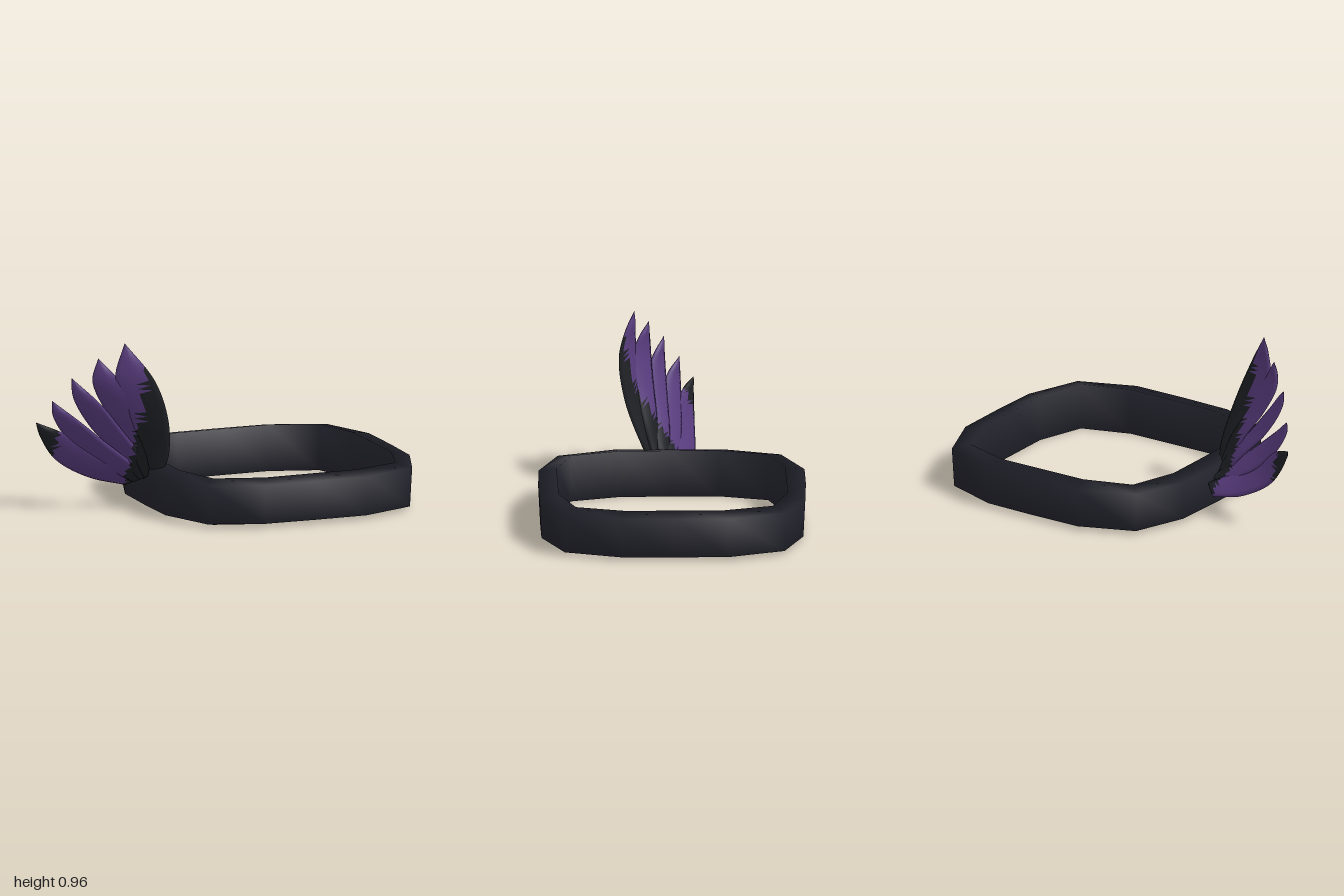
import * as THREE from 'three';

// Skin a list of equal-sized cross-section loops; pick(centroid) returns the material index.
function loft(loops, closed, pick = () => 0) {
  const n = loops[0].length, pts = loops.flat(), buckets = [[], []];
  const face = (...t) => {
    const c = new THREE.Vector3();
    t.forEach((k) => c.addScaledVector(pts[k], 1 / 3));
    buckets[pick(c)].push(...t);
  };
  const spans = closed ? loops.length : loops.length - 1;
  for (let i = 0; i < spans; i++) {
    const a = i * n, b = ((i + 1) % loops.length) * n;
    for (let j = 0; j < n; j++) {
      const k = (j + 1) % n;
      face(a + j, a + k, b + k);
      face(a + j, b + k, b + j);
    }
  }
  const g = new THREE.BufferGeometry().setFromPoints(pts);
  g.setIndex(buckets.flat());
  g.addGroup(0, buckets[0].length, 0);
  g.addGroup(buckets[0].length, buckets[1].length, 1);
  g.computeVertexNormals();
  return g;
}

// Rounded-square band: one quarter of [outer x, outer z, inner x, inner z], turned four times.
function bandGeometry() {
  const quarter = [
    [0.72, 0, 0.615, 0], [0.71, 0.3, 0.615, 0.265],
    [0.6, 0.6, 0.53, 0.53], [0.295, 0.72, 0.265, 0.615],
  ];
  const loops = [];
  for (let q = 0; q < 4; q++) {
    const c = Math.round(Math.cos(q * Math.PI / 2)), s = Math.round(Math.sin(q * Math.PI / 2));
    for (const [ox, oz, ix, iz] of quarter) {
      const at = (x, z, y) => new THREE.Vector3(x * c - z * s, y, x * s + z * c);
      loops.push([
        at(ox * 0.985, oz * 0.985, 0.02), at(ox, oz, 0.235),
        at(ix, iz, 0.255), at(ix, iz, 0),
      ]);
    }
  }
  return loft(loops, true);
}

// Feather blade between its trailing and leading edge, slightly thick in the middle.
function featherGeometry(trail, lead, tip, pick) {
  const curve = (edge) => new THREE.CatmullRomCurve3(
    [...edge, tip].map((p) => new THREE.Vector3(...p)), false, 'centripetal');
  const L = curve(trail), R = curve(lead), rows = 32, half = 4, loops = [];
  for (let i = 0; i <= rows; i++) {
    const t = i / rows, l = L.getPoint(t), r = R.getPoint(t);
    const w = r.clone().sub(l);
    const normal = w.clone().cross(L.getTangent(t).add(R.getTangent(t))).normalize();
    const thick = 0.014 * Math.min(1, w.length() / 0.08);
    const loop = [];
    for (let j = 0; j < half * 2; j++) {
      const a = j / half * Math.PI;
      loop.push(l.clone().addScaledVector(w, (1 - Math.cos(a)) / 2)
        .addScaledVector(normal, Math.sin(a) * thick));
    }
    if (i === 0) {
      const mid = l.clone().lerp(r, 0.5);
      loops.push(loop.map(() => mid.clone())); // closes the root
    }
    loops.push(loop);
  }
  return loft(loops, false, pick);
}

// Feathers from the tall front one to the low rear one, root to tip.
const FEATHERS = [
  {
    trail: [[-0.43, 0.2, 0.09], [-0.48, 0.35, 0.12], [-0.6, 0.58, 0.16], [-0.67, 0.77, 0.17]],
    lead: [[-0.37, 0.23, 0.12], [-0.355, 0.31, 0.16], [-0.39, 0.53, 0.24], [-0.48, 0.76, 0.265]],
    tip: [-0.62, 0.96, 0.18],
  },
  {
    trail: [[-0.45, 0.18, 0.04], [-0.57, 0.4, 0.06], [-0.7, 0.59, 0.08], [-0.77, 0.75, 0.09]],
    lead: [[-0.4, 0.22, 0.09], [-0.43, 0.35, 0.13], [-0.52, 0.53, 0.18], [-0.62, 0.72, 0.19]],
    tip: [-0.74, 0.87, 0.1],
  },
  {
    trail: [[-0.46, 0.16, -0.01], [-0.6, 0.32, -0.01], [-0.75, 0.48, 0], [-0.85, 0.65, 0.01]],
    lead: [[-0.41, 0.2, 0.05], [-0.47, 0.3, 0.08], [-0.6, 0.46, 0.11], [-0.72, 0.61, 0.105]],
    tip: [-0.86, 0.755, 0.015],
  },
  {
    trail: [[-0.48, 0.14, -0.06], [-0.65, 0.24, -0.075], [-0.82, 0.37, -0.08], [-0.93, 0.53, -0.075]],
    lead: [[-0.42, 0.18, 0], [-0.52, 0.27, 0.03], [-0.67, 0.39, 0.035], [-0.81, 0.51, 0.02]],
    tip: [-0.94, 0.62, -0.07],
  },
  {
    trail: [[-0.5, 0.11, -0.13], [-0.7, 0.165, -0.15], [-0.89, 0.28, -0.15], [-0.98, 0.42, -0.148]],
    lead: [[-0.43, 0.16, -0.07], [-0.56, 0.23, -0.035], [-0.72, 0.33, -0.04], [-0.86, 0.43, -0.07]],
    tip: [-1, 0.49, -0.148],
  },
];

export function createModel() {
  const material = (name, color) => {
    const m = new THREE.MeshStandardMaterial({ color });
    m.name = name;
    return m;
  };
  const bandDark = material('bandDark', 0x22222c);
  const featherDark = material('featherDark', 0x1d1f23);
  const featherPurple = material('featherPurple', 0x573b7c);

  const model = new THREE.Group();
  model.name = 'wingedBand';

  const band = new THREE.Mesh(bandGeometry(), bandDark);
  band.name = 'band';
  band.position.x = 0.28;
  model.add(band);

  // Dark roots on every feather, dark tip on the rear one.
  const wing = new THREE.Group();
  wing.name = 'wing';
  FEATHERS.forEach(({ trail, lead, tip }, i) => {
    const rootEdge = i === 4 ? -0.5 : -0.53;
    const tipEdge = i === 4 ? -0.9 : -2;
    const pick = (c) => (c.x > rootEdge || c.x < tipEdge ? 1 : 0);
    const feather = new THREE.Mesh(
      featherGeometry(trail, lead, tip, pick), [featherPurple, featherDark]);
    feather.name = `feather${i + 1}`;
    wing.add(feather);
  });
  model.add(wing);
  return model;
}
